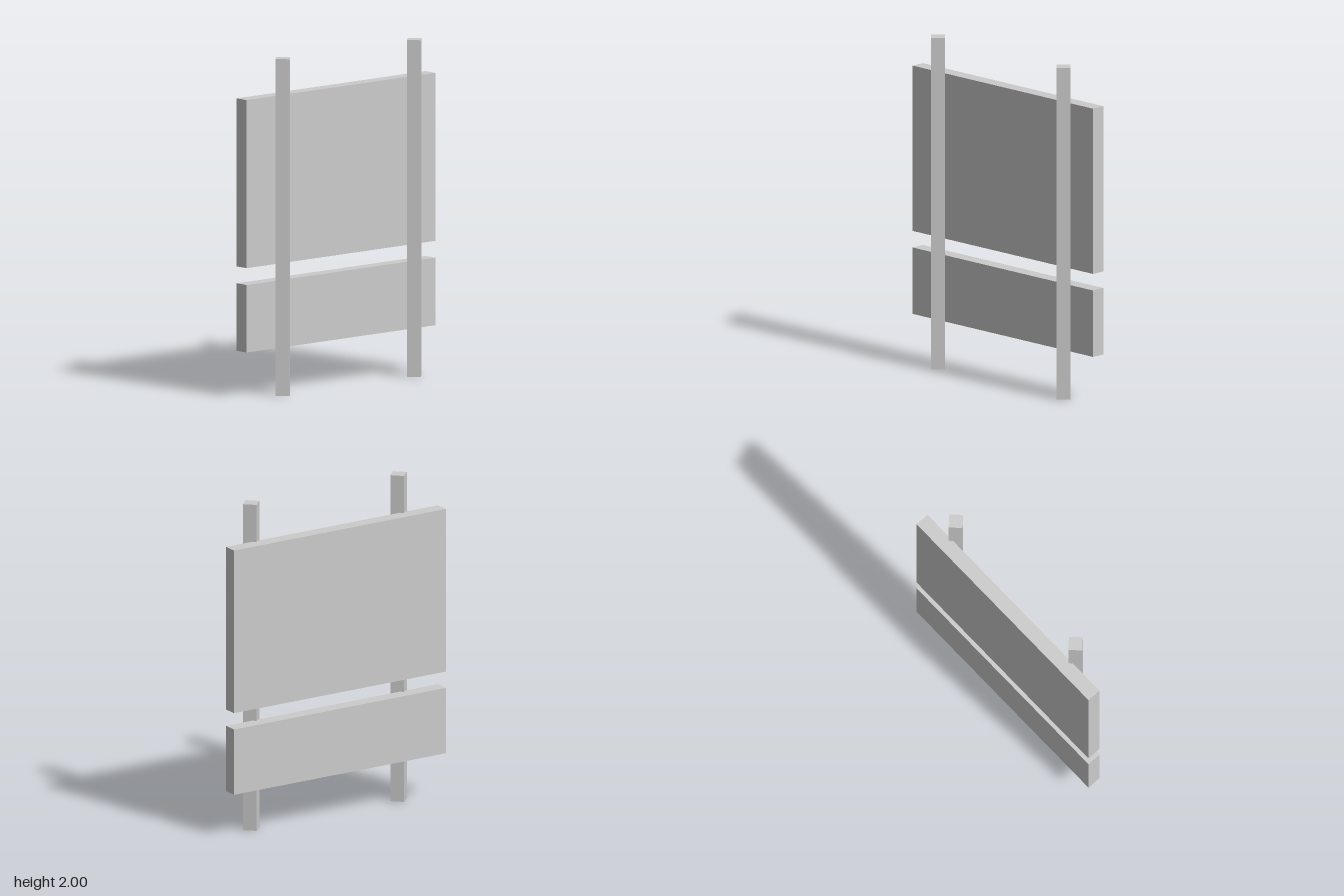
import * as THREE from 'three';

export function createModel() {
  const group = new THREE.Group();
  const material = new THREE.MeshStandardMaterial({ color: 0xcccccc, flatShading: true });

  function addBox(name, size, position, turn = 0) {
    const mesh = new THREE.Mesh(new THREE.BoxGeometry(...size), material);
    mesh.name = name;
    mesh.position.set(...position);
    mesh.rotation.y = turn;
    group.add(mesh);
  }

  // Square posts turned 45 degrees, one edge set into the panels
  const postSide = 0.082;
  for (const [name, z] of [['frontPost', 0.495], ['backPost', -0.542]]) {
    addBox(name, [postSide, 2, postSide], [0.034, 1, z], Math.PI / 4);
  }

  // Sign panels: bottom and top heights
  for (const [name, y0, y1] of [['upperPanel', 0.775, 1.773], ['lowerPanel', 0.274, 0.675]]) {
    addBox(name, [0.087, y1 - y0, 1.49], [-0.0495, (y0 + y1) / 2, 0]);
  }

  return group;
}
